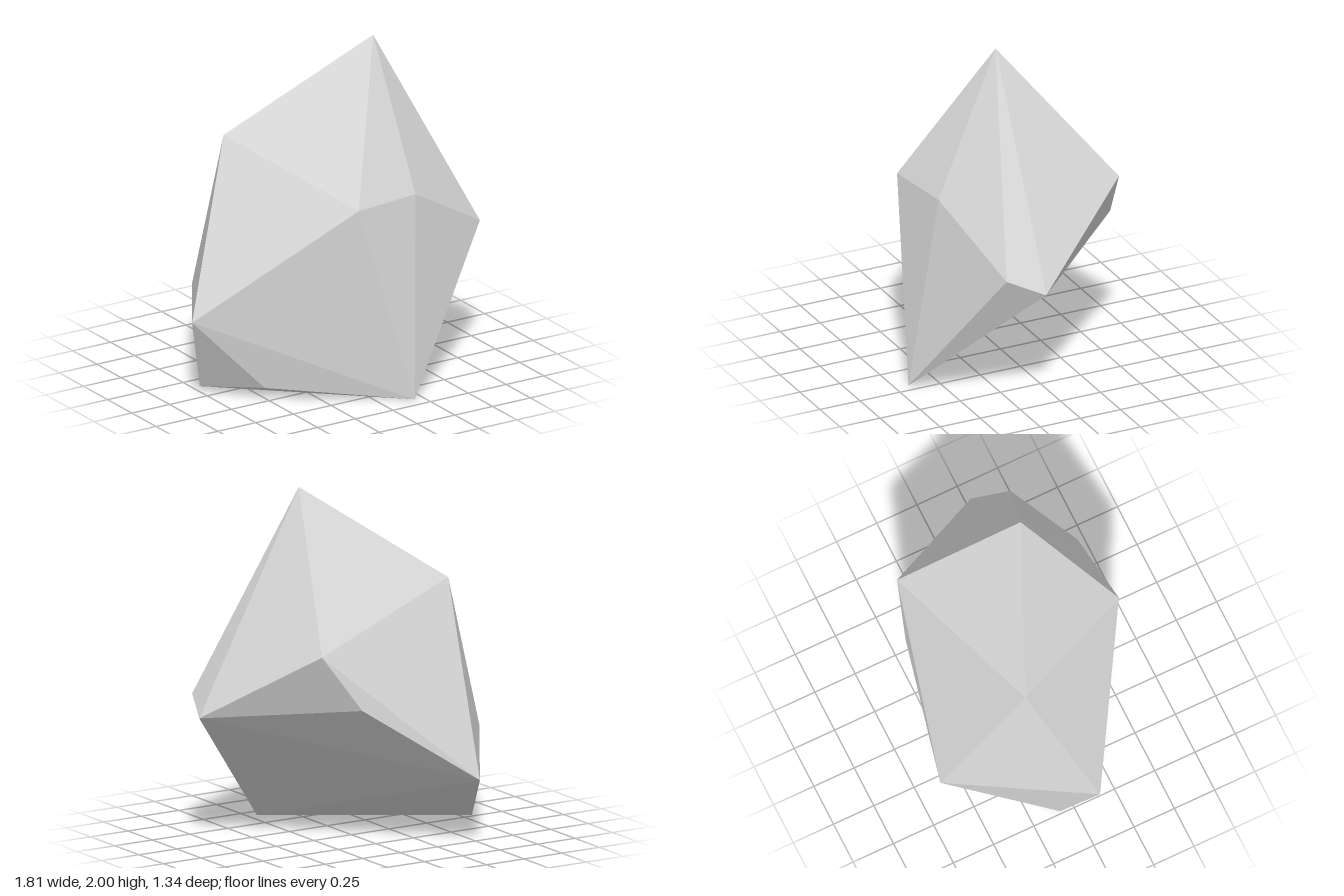
import * as THREE from 'three';

// Corner points of the faceted boulder
const CORNERS = {
  A: [0.25, 2.0, 0.155],    // peak
  B: [-0.52, 1.45, -0.19],  // right shoulder
  C: [-0.12, 1.16, 0.585],  // front ridge
  D: [0.29, 1.16, 0.53],
  E: [0.82, 0.845, 0.37],   // left flank
  F: [0.905, 0.755, 0.165],
  G: [-0.905, 0.495, 0.085], // right flank
  H: [0.195, 0.0, 0.67],    // front foot
  I: [0.51, 1.185, -0.485], // back shoulder
  J: [-0.42, 0.395, -0.67], // back flank
  K: [-0.745, 0.03, -0.085], // right foot
  L: [-0.52, 0.075, 0.235],
  M: [0.28, 0.86, -0.545],
};

// Facets, grouped as upper, middle and lower rings
const FACETS = [
  'ABC', 'ACD', 'ADE', 'AEF', 'AFI', 'AIB',
  'BGC', 'GCH', 'CDH', 'DEH', 'EFH', 'FIM', 'IMJ', 'BIJ', 'BJG',
  'FMJ', 'FJH', 'JHK', 'GJK', 'GKL', 'GLH', 'KLH',
];

// Build separate triangles, each turned to face away from the core
function facetedSolid(corners, facets, core) {
  const positions = [];
  for (const facet of facets) {
    const tri = [...facet].map((k) => new THREE.Vector3(...corners[k]));
    const normal = new THREE.Triangle(...tri).getNormal(new THREE.Vector3());
    if (normal.dot(tri[0].clone().sub(core)) < 0) tri.reverse();
    tri.forEach((p) => positions.push(p.x, p.y, p.z));
  }
  const geometry = new THREE.BufferGeometry();
  geometry.setAttribute('position', new THREE.Float32BufferAttribute(positions, 3));
  geometry.computeVertexNormals();
  return geometry;
}

export function createModel() {
  const group = new THREE.Group();
  group.name = 'rock';
  const stone = new THREE.MeshStandardMaterial({ color: 0xd8d8d8, flatShading: true });
  stone.name = 'stone grey';
  const boulder = new THREE.Mesh(
    facetedSolid(CORNERS, FACETS, new THREE.Vector3(0, 0.85, 0)), stone);
  boulder.name = 'boulder';
  group.add(boulder);
  return group;
}
